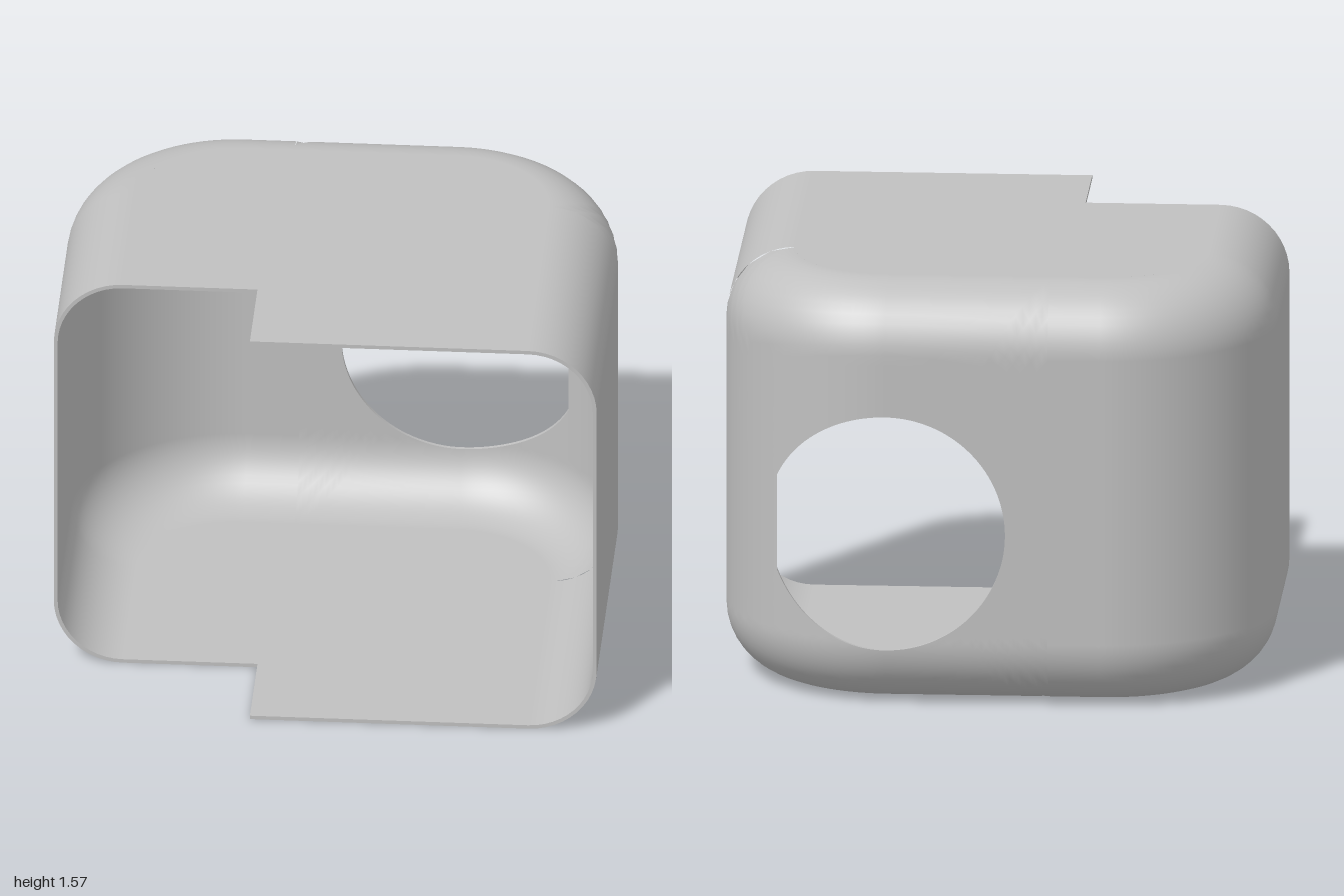
import * as THREE from 'three';

// Overall sizes
const H = 1.565, R = 0.61, CX = 0.39, ZC = -0.235;   // height, plan corner radius and its centre
const r = 0.25, T = 0.014;                           // edge fillet radius, wall thickness
const FRONT = 0.843, STEP = 0.455, NOTCH_X = -0.26;  // front edge, notch depth, notch side
const L = r * Math.PI / 2, V = 2 * L + H - 2 * r;    // fillet length, whole profile length
const U_ARC = CX + R * Math.PI / 2;                  // path length from middle to end of corner
const U_LEFT = U_ARC + FRONT - ZC, U_RIGHT = -(U_ARC + STEP - ZC);
const HOLE = { x: 0.39, y: 0.656, r: 0.437, flat: 0.79 };

// Point and normal on the shell: u runs round the plan, v up the profile, t is depth below the skin
function shell(u, v, t) {
  const vv = Math.max(0, Math.min(v, V - v)), a = Math.min(vv / r, Math.PI / 2);
  let y = vv < L ? r - (r - t) * Math.cos(a) : r + vv - L;
  let ny = -Math.cos(a);
  if (v > V / 2) { y = H - y; ny = -ny; }
  const inset = r - (r - t) * Math.sin(a), s = Math.sign(u), q = Math.abs(u);
  const phi = THREE.MathUtils.clamp((q - CX) / R, 0, Math.PI / 2);
  const x = s * (Math.min(q, CX) + (R - inset) * Math.sin(phi));
  const z = ZC - (R - inset) * Math.cos(phi) + Math.max(0, q - U_ARC);
  return {
    p: new THREE.Vector3(x, y, z),
    n: new THREE.Vector3(s * Math.sin(phi) * Math.sin(a), ny, -Math.cos(phi) * Math.sin(a)),
  };
}

// Shell coordinates of a point seen straight from the back
function unproject(x, y, t) {
  const low = y < r, a = low ? Math.acos((r - y) / (r - t)) : Math.PI / 2;
  const inset = r - (r - t) * Math.sin(a);
  const u = x <= CX ? x : CX + R * Math.asin((x - CX) / (R - inset));
  return [u, low ? a * r : L + y - r];
}

// Quad grid from rows of { p, n }; each triangle is turned to agree with its normals
function gridGeometry(rows) {
  const pos = [], nor = [], e1 = new THREE.Vector3(), e2 = new THREE.Vector3();
  const tri = (a, b, c) => {
    e1.subVectors(b.p, a.p).cross(e2.subVectors(c.p, a.p));
    const sum = a.n.clone().add(b.n).add(c.n);
    for (const k of e1.dot(sum) < 0 ? [a, c, b] : [a, b, c]) {
      pos.push(k.p.x, k.p.y, k.p.z);
      nor.push(k.n.x, k.n.y, k.n.z);
    }
  };
  for (let i = 0; i + 1 < rows.length; i++) {
    for (let j = 0; j + 1 < rows[i].length; j++) {
      const a = rows[i][j], b = rows[i][j + 1], c = rows[i + 1][j + 1], d = rows[i + 1][j];
      tri(a, b, c);
      tri(a, c, d);
    }
  }
  const g = new THREE.BufferGeometry();
  g.setAttribute('position', new THREE.Float32BufferAttribute(pos, 3));
  g.setAttribute('normal', new THREE.Float32BufferAttribute(nor, 3));
  return g;
}

const skin = (u, v, t, inside) => {
  const k = shell(u, v, t);
  if (inside) k.n.negate();
  return k;
};
const span = (a, b, n) => Array.from({ length: n + 1 }, (_, i) => a + (b - a) * i / n);
const PROFILE = [...span(0, L, 12), ...span(V - L, V, 12)];

export function createModel() {
  const group = new THREE.Group();
  const grey = new THREE.MeshStandardMaterial({ color: 0xc0c0c0 });
  grey.name = 'grey';
  const add = (name, geometry) => {
    const m = new THREE.Mesh(geometry, grey);
    m.name = name;
    group.add(m);
    return m;
  };

  // Edges of the patch of back wall that holds the opening
  const U0 = -0.2, U1 = U_ARC;
  const [uc, vc] = unproject(HOLE.x, HOLE.y, 0);

  // Directions round the opening, including every corner
  const chord = Math.acos((HOLE.flat - HOLE.x) / HOLE.r);
  const angles = [...span(-Math.PI, Math.PI, 120), chord, -chord];
  for (const u of [U0, U1]) for (const v of [0, V]) angles.push(Math.atan2(v - vc, u - uc));
  angles.sort((a, b) => a - b);

  const holeXY = a => {
    const c = Math.cos(a);
    const d = c > 0 ? Math.min(HOLE.r, (HOLE.flat - HOLE.x) / c) : HOLE.r;
    return [HOLE.x + d * c, HOLE.y + d * Math.sin(a)];
  };
  const borderUV = a => {
    const c = Math.cos(a), s = Math.sin(a);
    const toSide = Math.abs(c) < 1e-6 ? Infinity : ((c > 0 ? U1 : U0) - uc) / c;
    const toEdge = Math.abs(s) < 1e-6 ? Infinity : ((s > 0 ? V : 0) - vc) / s;
    const k = Math.min(toSide, toEdge);
    return [uc + k * c, vc + k * s];
  };

  // Outer and inner skins
  for (const inside of [false, true]) {
    const t = inside ? T : 0, side = inside ? 'inner' : 'outer';
    const strip = us => gridGeometry(us.map(u => PROFILE.map(v => skin(u, v, t, inside))));
    add(side + 'LeftWall', strip([U_ARC, U_LEFT]));
    add(side + 'RightWall', strip([U_RIGHT, ...span(-U_ARC, -CX, 20), U0]));
    add(side + 'BackWall', gridGeometry(span(0, 1, 16).map(f => angles.map(a => {
      const [hu, hv] = unproject(...holeXY(a), t), [bu, bv] = borderUV(a);
      return skin(hu + (bu - hu) * f, hv + (bv - hv) * f, t, inside);
    }))));
  }

  // Rim of the opening, facing its axis
  add('openingRim', gridGeometry([0, T].map(t => angles.map(a => {
    const [x, y] = holeXY(a);
    const n = Math.abs(a) < chord ? new THREE.Vector3(-1, 0, 0)
      : new THREE.Vector3(-Math.cos(a), -Math.sin(a), 0);
    return { p: shell(...unproject(x, y, t), t).p, n };
  }))));

  // Front rims of the two side walls
  for (const [name, u] of [['leftFrontRim', U_LEFT], ['rightFrontRim', U_RIGHT]]) {
    add(name, gridGeometry([0, T].map(t => PROFILE.map(v => (
      { p: shell(u, v, t).p, n: new THREE.Vector3(0, 0, 1) })))));
  }

  // Flat top and bottom plates with the notch at the front
  const plan = new THREE.Shape();
  const w = 1 - r, back = ZC - R + r;
  plan.moveTo(NOTCH_X, -FRONT);
  plan.lineTo(w, -FRONT);
  plan.lineTo(w, -ZC);
  plan.absarc(CX, -ZC, R - r, 0, Math.PI / 2, false);
  plan.lineTo(-CX, -back);
  plan.absarc(-CX, -ZC, R - r, Math.PI / 2, Math.PI, false);
  plan.lineTo(-w, -STEP);
  plan.lineTo(NOTCH_X, -STEP);
  const plate = new THREE.ExtrudeGeometry(plan, { depth: T, bevelEnabled: false, curveSegments: 24 });
  plate.rotateX(-Math.PI / 2);
  add('bottomPlate', plate);
  add('topPlate', plate).position.y = H - T;

  return group;
}
